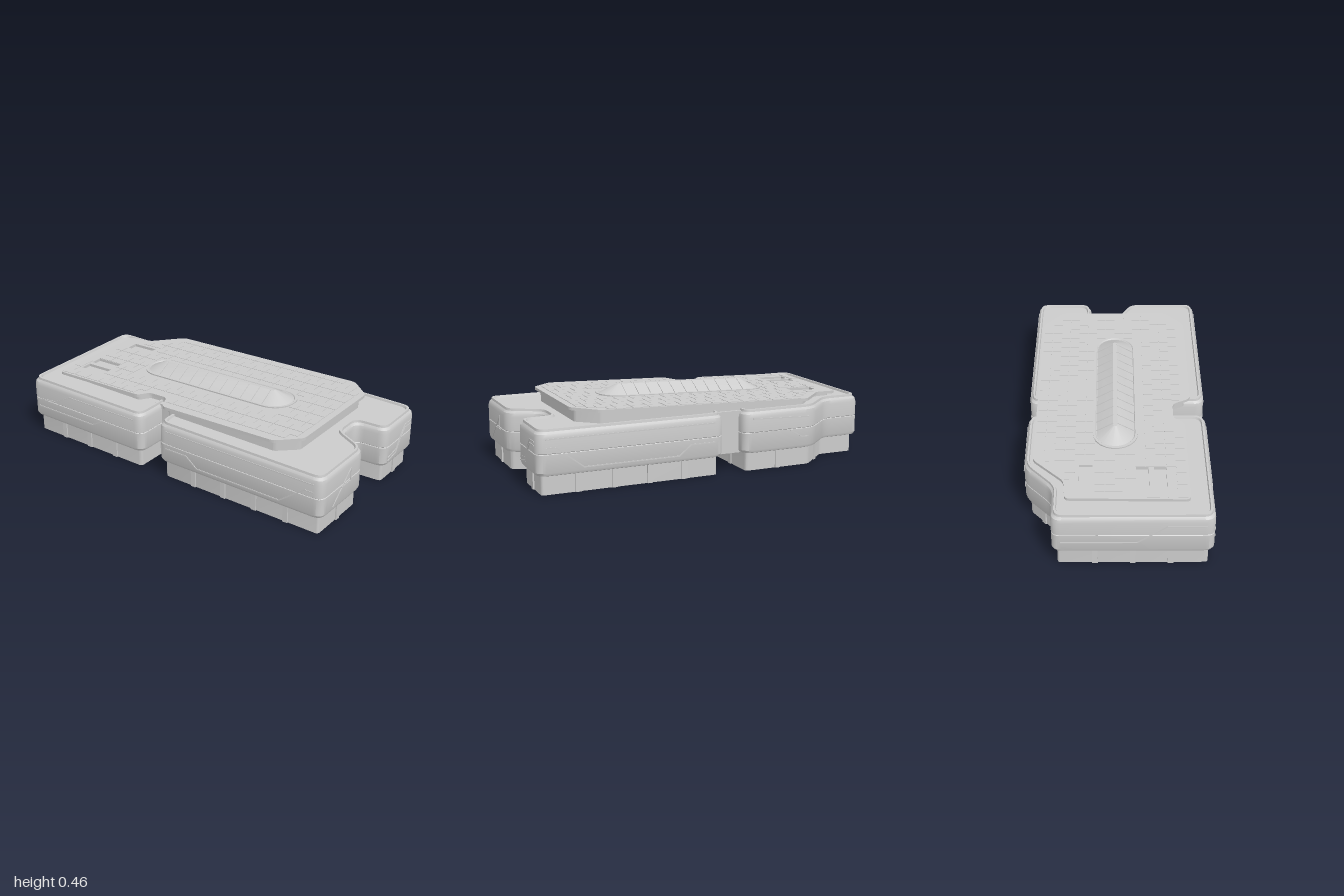
import * as THREE from 'three';
import { mergeGeometries, toCreasedNormals } from 'three/addons/utils/BufferGeometryUtils.js';

const material = new THREE.MeshStandardMaterial({ color: 0xcccccc, side: THREE.DoubleSide });

// Plan outlines as [x, z] corners
const WEST = [[-0.165, -0.495], [-0.165, 0.495], [-1, 0.495], [-1, -0.34], [-0.77, -0.34], [-0.6, -0.495]];
const EAST = [[1, -0.495], [1, -0.16], [0.82, -0.15], [0.82, -0.01], [1, 0.085], [1, 0.495], [-0.045, 0.495], [-0.045, -0.495]];
const LINK = [[0, -0.43], [0, 0.31], [-0.22, 0.31], [-0.22, -0.43]];
const ROOF = [[0.77, -0.33], [0.77, 0.3], [0.65, 0.41], [-0.08, 0.41], [-0.13, 0.31], [-0.25, 0.31],
  [-0.29, 0.37], [-0.89, 0.37], [-0.88, -0.27], [-0.75, -0.28], [-0.59, -0.445], [0.64, -0.445]];
const HATCHES = [[-0.71, -0.165, 0.16, 0.07], [-0.735, 0.13, 0.17, 0.065], [-0.735, 0.222, 0.17, 0.065]];

// Height of the tilted roof surface
const roofY = (x) => 0.362 + (x + 0.89) * 0.032;

// Move every outline edge inwards
function inset(outline, d) {
  const n = outline.length;
  const normal = (a, b) => new THREE.Vector2(a[1] - b[1], b[0] - a[0]).normalize();
  return outline.map((p, i) => {
    const n1 = normal(outline[(i + n - 1) % n], p);
    const n2 = normal(p, outline[(i + 1) % n]);
    const k = d / (1 + n1.dot(n2));
    return [p[0] + (n1.x + n2.x) * k, p[1] + (n1.y + n2.y) * k];
  });
}

// Replace each corner with a small curve
function rounded(outline, r) {
  const pts = outline.map((p) => new THREE.Vector2(...p));
  const n = pts.length;
  return pts.flatMap((p, i) => {
    const cut = (q) => p.clone().lerp(q, Math.min(0.45, r / p.distanceTo(q)));
    return new THREE.QuadraticBezierCurve(cut(pts[(i + n - 1) % n]), p, cut(pts[(i + 1) % n])).getPoints(5);
  });
}

// Skin rings of [plan points, height function] and close both ends
function skin(rings, crease = 0.5) {
  const n = rings[0][0].length;
  const position = rings.flatMap(([pts, y]) => pts.flatMap((p) => [p.x, y(p.x), p.y]));
  const index = [];
  for (let k = 0; k < rings.length - 1; k++) {
    for (let i = 0; i < n; i++) {
      const a = k * n + i, b = k * n + (i + 1) % n;
      index.push(a, a + n, b, b, a + n, b + n);
    }
  }
  const last = (rings.length - 1) * n;
  for (const [a, b, c] of THREE.ShapeUtils.triangulateShape(rings[0][0], [])) index.push(a, b, c);
  for (const [a, b, c] of THREE.ShapeUtils.triangulateShape(rings.at(-1)[0], [])) index.push(last + a, last + c, last + b);
  const g = new THREE.BufferGeometry();
  g.setAttribute('position', new THREE.Float32BufferAttribute(position, 3));
  g.setIndex(index);
  return toCreasedNormals(g, crease);
}

// Wall with a vertical profile of [inset, height]
const wall = (outline, profile, r) => skin(profile.map(([d, y]) => [rounded(inset(outline, d), r), () => y]));

// Let a flat geometry follow the roof slope
function onRoof(g) {
  const p = g.attributes.position;
  for (let i = 0; i < p.count; i++) p.setY(i, p.getY(i) + roofY(p.getX(i)));
  g.computeVertexNormals();
  return g;
}

// Thin trim laid along a path of 3D points
function trim(points, size = 0.006) {
  const parts = [];
  for (let i = 0; i < points.length - 1; i++) {
    const a = new THREE.Vector3(...points[i]), b = new THREE.Vector3(...points[i + 1]);
    const g = new THREE.BoxGeometry(size, size, a.distanceTo(b) + size / 2);
    const m = new THREE.Matrix4().lookAt(b, a, new THREE.Vector3(0, 1, 0)).setPosition(a.add(b).multiplyScalar(0.5));
    parts.push(g.applyMatrix4(m));
  }
  return mergeGeometries(parts);
}

// Pilasters spaced along the ground floor walls
function pilasters(outline) {
  const parts = [];
  outline.forEach((p, i) => {
    const q = outline[(i + 1) % outline.length];
    const len = Math.hypot(q[0] - p[0], q[1] - p[1]);
    const count = Math.floor(len / 0.22);
    for (let k = 1; k <= count; k++) {
      const t = k / (count + 1);
      parts.push(new THREE.BoxGeometry(0.03, 0.1, 0.012)
        .rotateY(-Math.atan2(q[1] - p[1], q[0] - p[0]))
        .translate(p[0] + (q[0] - p[0]) * t, 0.05, p[1] + (q[1] - p[1]) * t));
    }
  });
  return mergeGeometries(parts);
}

// Roof tiles that fit inside the outline, clear of hatches and skylight
function roofTiles() {
  const edge = inset(ROOF, 0.008);
  const inside = (x, z) => edge.reduce((hit, [ax, az], i) => {
    const [bx, bz] = edge[(i + 1) % edge.length];
    return (az > z) !== (bz > z) && x < ax + (z - az) / (bz - az) * (bx - ax) ? !hit : hit;
  }, false);
  const blocked = [...HATCHES, [0, -0.01, 0.98, 0.21]];
  const parts = [], w = 0.046, d = 0.053;
  for (let row = 0; row < 16; row++) {
    for (let col = 0; col < 36; col++) {
      const x = -0.855 + col * w, z = -0.41 + row * d;
      const corners = [[-1, -1], [1, -1], [1, 1], [-1, 1]];
      if (!corners.every(([i, j]) => inside(x + i * w / 2, z + j * d / 2))) continue;
      if (blocked.some(([hx, hz, hw, hd]) => Math.abs(x - hx) < (hw + w) / 2 && Math.abs(z - hz) < (hd + d) / 2)) continue;
      // Pairs of tiles join into larger slabs in a staggered bond
      const gapX = (col + Math.floor(row / 2)) % 2 ? 0.003 : -0.001;
      const gapZ = row % 2 ? 0.003 : -0.001;
      parts.push(new THREE.BoxGeometry(w - 0.002, 0.003, d - 0.002)
        .translate(x + gapX / 2, 0.001, z + gapZ / 2));
    }
  }
  return onRoof(mergeGeometries(parts));
}

// Long capsule in plan
function capsule(half, r) {
  const pts = [];
  for (let i = 0; i < 24; i++) {
    const side = i < 12 ? -1 : 1;
    const a = (side < 0 ? Math.PI / 2 : -Math.PI / 2) + Math.PI * (i % 12) / 11;
    pts.push(new THREE.Vector2(half * side + r * Math.cos(a), -0.01 + r * Math.sin(a)));
  }
  return pts;
}

export function createModel() {
  const model = new THREE.Group();
  const add = (name, geometry, parent = model) => {
    const mesh = new THREE.Mesh(geometry, material);
    mesh.name = name;
    parent.add(mesh);
  };

  // Two wings: recessed ground floor, overhanging upper floor with a low parapet
  const upper = [[0.022, 0.1], [0.006, 0.106], [0, 0.12], [0, 0.215], [0.003, 0.218], [0, 0.221], [0, 0.3],
    [0.004, 0.32], [0.014, 0.332], [0.016, 0.345], [0.026, 0.345], [0.03, 0.333]];
  for (const [name, outline] of [['westWing', WEST], ['eastWing', EAST]]) {
    const wing = new THREE.Group();
    wing.name = name;
    add('groundFloor', wall(outline, [[0.028, 0], [0.028, 0.105]], 0.02), wing);
    add('pilasters', pilasters(inset(outline, 0.026)), wing);
    add('upperFloor', wall(outline, upper, 0.05), wing);
    model.add(wing);
  }
  add('linkBlock', wall(LINK, [[0, 0.1], [0, 0.335]], 0.01));

  // Stepped trim lines on the long walls, front and back
  for (const s of [1, -1]) {
    const z = s * 0.495, start = s > 0 ? -0.95 : -0.57;
    const line = (pts) => add('wallTrim', trim(pts.map(([x, y]) => [x, y, z])));
    line(s > 0 ? [[start, 0.215], [-0.82, 0.23], [-0.7, 0.29], [-0.22, 0.295]] : [[start, 0.28], [-0.22, 0.295]]);
    line([[start, 0.17], [-0.53, 0.17], [-0.45, 0.215], [-0.22, 0.215]]);
    line([[0.01, 0.19], [0.15, 0.19], [0.22, 0.135], [0.75, 0.135], [0.9, 0.25], [0.95, 0.25]]);
    line([[0.01, 0.295], [0.95, 0.295]]);
  }
  // Trim on the end walls
  const east = (pts) => add('endTrim', trim(pts.map(([z, y]) => [1, y, z])));
  east([[0.38, 0.13], [0.21, 0.28], [0.21, 0.205], [0.3, 0.205]]);
  for (const dy of [0, -0.02]) {
    east([[-0.2, 0.15 + dy], [-0.29, 0.165 + dy], [-0.34, 0.24 + dy], [-0.38, 0.28 + dy], [-0.45, 0.28 + dy]]);
  }
  add('endTrim', trim([[-1, 0.17, -0.29], [-1, 0.17, 0.1], [-1, 0.28, 0.25], [-1, 0.28, 0.45]]));

  // Recessed storey under the tilted roof
  const core = rounded(inset(ROOF, 0.03), 0.015);
  add('roofStorey', skin([[core, () => 0.32], [core, (x) => roofY(x) - 0.016]]));

  // Roof plate with rectangular hatch openings
  const plate = new THREE.Shape(rounded(ROOF, 0.025));
  for (const [x, z, w, d] of HATCHES) {
    plate.holes.push(new THREE.Path([[-1, -1], [-1, 1], [1, 1], [1, -1]]
      .map(([i, j]) => new THREE.Vector2(x + i * w / 2, z + j * d / 2))));
  }
  const roof = new THREE.ExtrudeGeometry(plate, { depth: 0.016, bevelEnabled: false });
  add('roofPlate', onRoof(roof.rotateX(Math.PI / 2)));
  add('roofTiles', roofTiles());

  // Ridged skylight on a capsule-shaped curb
  const level = (half, r, h) => [capsule(half, r), (x) => roofY(x) + h];
  add('skylightCurb', skin([level(0.385, 0.122, -0.005), level(0.385, 0.122, 0.007), level(0.385, 0.108, 0.007), level(0.385, 0.104, 0.002)]));
  add('skylight', skin([level(0.385, 0.104, 0), level(0.37, 0.012, 0.054)], 0.3));
  for (const s of [1, -1]) {
    for (let i = 0; i < 11; i++) {
      const x = -0.36 + i * 0.072;
      add('skylightRib', trim([[x, roofY(x) + 0.002, -0.01 + s * 0.104], [x, roofY(x) + 0.054, -0.01 + s * 0.012]], 0.005));
    }
  }
  return model;
}
